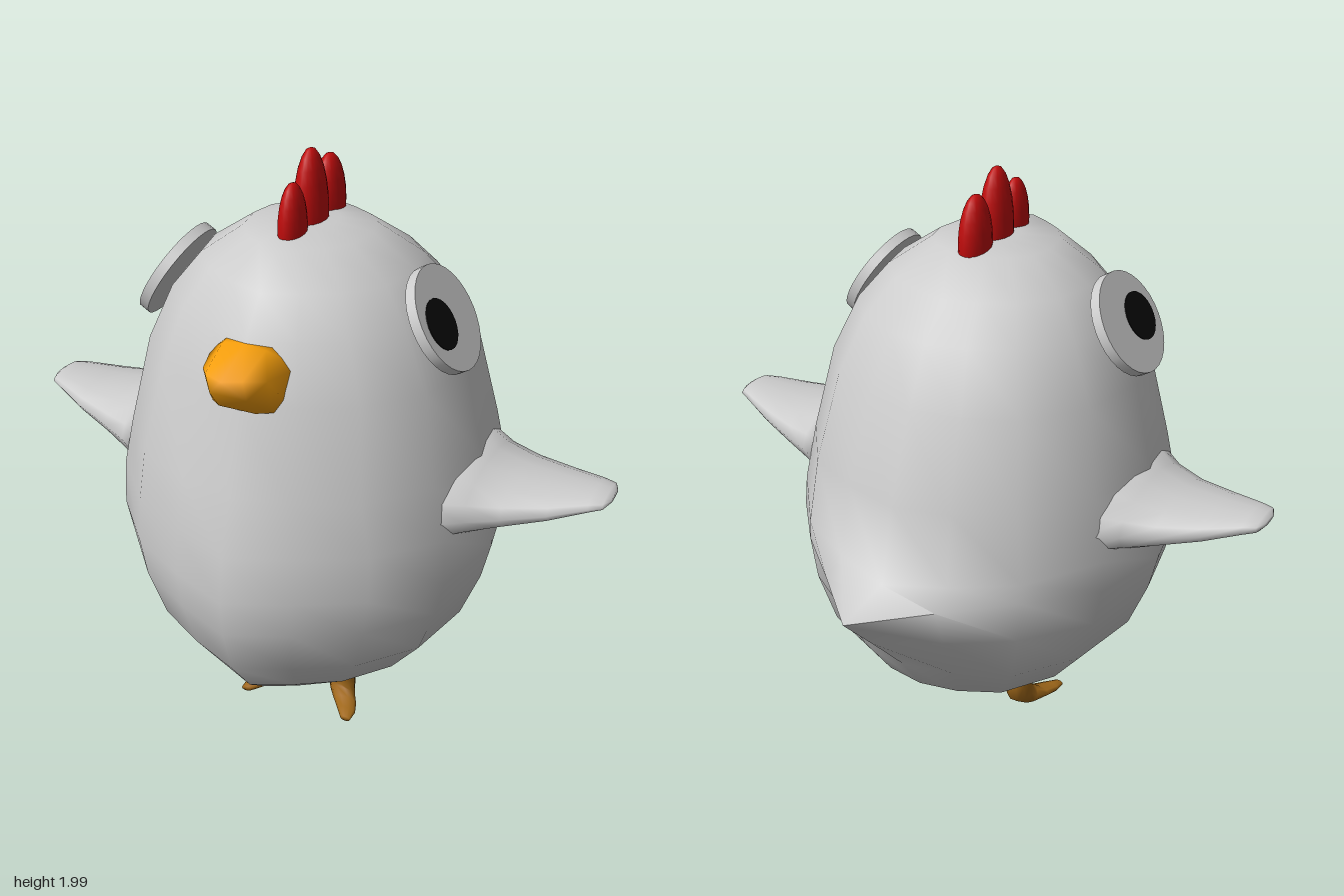
import * as THREE from 'three';
import { mergeVertices, toCreasedNormals } from 'three/addons/utils/BufferGeometryUtils.js';
import { ConvexGeometry } from 'three/addons/geometries/ConvexGeometry.js';

const mat = (color) => new THREE.MeshStandardMaterial({ color });
const grey = mat(0xcccccc);
const black = mat(0x0a0a0a);
const red = mat(0xc00c0c);
const orange = mat(0xf59e0b);
const brown = mat(0xa0681a);

// Skin between closed rings of [x, y, z] points, with capped ends; faces always point outward
function loft(rings) {
  const n = rings[0].length;
  const pos = rings.flat();
  const idx = [];
  for (let r = 0; r < rings.length - 1; r++) {
    for (let i = 0; i < n; i++) {
      const a = r * n + i, b = r * n + (i + 1) % n;
      idx.push(a, b, a + n, b, b + n, a + n);
    }
  }
  const cap = (r, flip) => {
    const c = [0, 1, 2].map((k) => rings[r].reduce((s, p) => s + p[k], 0) / n);
    pos.push(c);
    for (let i = 0; i < n; i++) {
      const a = r * n + i, b = r * n + (i + 1) % n;
      idx.push(pos.length - 1, flip ? b : a, flip ? a : b);
    }
  };
  cap(0, true);
  cap(rings.length - 1, false);

  // Signed volume tells whether the winding must be reversed
  const v = pos.map((p) => new THREE.Vector3(...p));
  let volume = 0;
  for (let i = 0; i < idx.length; i += 3) {
    volume += v[idx[i]].dot(v[idx[i + 1]].clone().cross(v[idx[i + 2]]));
  }
  if (volume < 0) idx.reverse();
  const g = new THREE.BufferGeometry();
  g.setAttribute('position', new THREE.Float32BufferAttribute(pos.flat(), 3));
  g.setIndex(idx);
  g.computeVertexNormals();
  return g;
}

function add(parent, name, geometry, material) {
  const mesh = new THREE.Mesh(geometry, material);
  mesh.name = name;
  parent.add(mesh);
  return mesh;
}

// Egg-shaped body whose back is drawn out to a pointed tail
function bodyGeometry() {
  const zc = 0.13;
  // Quarter section: fraction of half width, depth when round, depth when pointed
  const quarter = [[0, 1, 1], [0.32, 0.87, 0.78], [0.64, 0.7, 0.57], [0.91, 0.41, 0.34], [1, 0, 0]];
  // y, half width, front z, back z, pointedness of front and back (below 0 is fuller), lift away from the tail
  const levels = [
    [0.2, 0.07, 0.24, -0.07, 0, 0, 0], [0.23, 0.22, 0.4, -0.17, 0, -0.5, 0],
    [0.265, 0.29, 0.5, -0.24, 0, -0.8, 0], [0.35, 0.41, 0.61, -0.36, 0, -0.9, 0],
    [0.49, 0.53, 0.72, -0.46, 0, -0.8, 0], [0.67, 0.595, 0.77, -0.63, 0, 0.2, -0.02],
    [0.825, 0.625, 0.78, -0.78, 0, 1, -0.05], [0.855, 0.62, 0.76, -0.57, 0, -0.3, 0.07],
    [1.1, 0.575, 0.7, -0.5, -0.6, -0.7, 0], [1.38, 0.515, 0.62, -0.385, -0.4, -0.8, 0],
    [1.56, 0.43, 0.57, -0.3, -0.3, -0.7, 0], [1.67, 0.34, 0.48, -0.19, -0.2, -0.5, 0],
    [1.765, 0.2, 0.39, -0.07, 0, 0, 0], [1.78, 0.08, 0.24, 0.03, 0, 0, 0],
  ];
  const outward = quarter.slice(0, 4);
  const inward = quarter.slice(1).reverse();
  const rings = levels.map(([y, w, zf, zb, sharpF, sharpB, lift]) => {
    const front = (s) => ([u, d, p]) => [
      s * u * w, y + lift, zc + THREE.MathUtils.lerp(d, p, sharpF) * (zf - zc)];
    const back = (s) => ([u, d, p]) => [
      s * u * w, y + lift * (1 - d), zc + THREE.MathUtils.lerp(d, p, sharpB) * (zb - zc)];
    return [...outward.map(front(1)), ...inward.map(back(1)),
      ...outward.map(back(-1)), ...inward.map(front(-1))];
  });
  return toCreasedNormals(loft(rings), 1.5);
}

// Stubby wing flaring into the body: x, bottom y, top y, back z, front z
function wingGeometry(side) {
  const sections = [
    [0.5, 0.84, 1.13, -0.2, 0.43], [0.6, 0.872, 1.085, -0.14, 0.35],
    [0.7, 0.91, 1.06, -0.1, 0.3], [0.83, 0.955, 1.055, -0.05, 0.25],
    [0.94, 1.0, 1.058, 0, 0.2], [0.98, 1.015, 1.055, 0.02, 0.18], [0.995, 1.03, 1.045, 0.06, 0.14],
  ];
  return loft(sections.map(([x, y0, y1, z0, z1]) =>
    Array.from({ length: 14 }, (_, i) => {
      const a = i / 14 * Math.PI * 2;
      return [side * x, (y0 + y1) / 2 + Math.sin(a) * (y1 - y0) / 2,
        (z0 + z1) / 2 + Math.cos(a) * (z1 - z0) / 2];
    })));
}

// Leg bending into a foot that points forward and outward:
// centre x, y, z, radius across, radius along, tilt of the ring
function legGeometry(side) {
  const sections = [
    [0.108, 0.28, 0.12, 0.048, 0.05, 0], [0.108, 0.1, 0.12, 0.047, 0.05, 0],
    [0.112, 0.06, 0.125, 0.048, 0.052, 0.4], [0.125, 0.036, 0.15, 0.048, 0.038, 1],
    [0.152, 0.03, 0.19, 0.044, 0.02, 1.5], [0.178, 0.028, 0.235, 0.034, 0.016, 1.5],
    [0.193, 0.026, 0.275, 0.018, 0.01, 1.5],
  ];
  return loft(sections.map(([x, y, z, rx, rz, t]) =>
    Array.from({ length: 10 }, (_, i) => {
      const a = i / 10 * Math.PI * 2;
      const across = Math.cos(a) * rx, along = Math.sin(a) * rz;
      return [side * (x + across), y + along * Math.sin(t), z + along * Math.cos(t)];
    })));
}

// Rounded faceted beak, smooth shaded
function beakGeometry() {
  const half = [
    [0.07, 1.545, 0.58], [0.08, 1.54, 0.52], [0.145, 1.48, 0.515], [0.13, 1.37, 0.56],
    [0.1, 1.36, 0.6], [0.06, 1.365, 0.635], [0.105, 1.48, 0.64], [0.06, 1.5, 0.705],
    [0.06, 1.43, 0.685], [0, 1.495, 0.725], [0, 1.55, 0.575],
  ];
  const points = half.flatMap(([x, y, z]) =>
    [new THREE.Vector3(x, y, z), new THREE.Vector3(-x, y, z)]);
  const g = new ConvexGeometry(points);
  g.deleteAttribute('normal');
  const smooth = mergeVertices(g);
  smooth.computeVertexNormals();
  return smooth;
}

export function createModel() {
  const model = new THREE.Group();
  model.name = 'chick';
  add(model, 'body', bodyGeometry(), grey);
  add(model, 'beak', beakGeometry(), orange);

  // Comb lobes: z, top y, half width, half depth
  const comb = new THREE.Group();
  comb.name = 'comb';
  model.add(comb);
  for (const [z, top, rx, rz] of [[0.255, 1.93, 0.04, 0.062], [0.132, 2, 0.05, 0.075], [0.002, 1.945, 0.047, 0.072]]) {
    const lobe = add(comb, 'combLobe', new THREE.SphereGeometry(1, 16, 12), red);
    lobe.scale.set(rx, top - 1.79, rz);
    lobe.position.set(-0.005, 1.79, z);
  }

  for (const side of [1, -1]) {
    const label = side > 0 ? 'left' : 'right';
    add(model, label + 'Wing', wingGeometry(side), grey);
    add(model, label + 'Leg', legGeometry(side), brown).position.x = -0.01;

    // Disc eye tilted upward, pupil set toward the front
    const eye = new THREE.Group();
    eye.name = label + 'Eye';
    eye.position.set(side * 0.453, 1.552, 0.178);
    eye.rotation.z = -side * 1.03;
    add(eye, 'eyeball', new THREE.CylinderGeometry(0.168, 0.168, 0.034, 32), grey);
    const pupil = add(eye, 'pupil', new THREE.CylinderGeometry(0.08, 0.08, 0.01, 24), black);
    pupil.position.set(0, 0.015, 0.055);
    model.add(eye);
  }
  return model;
}
